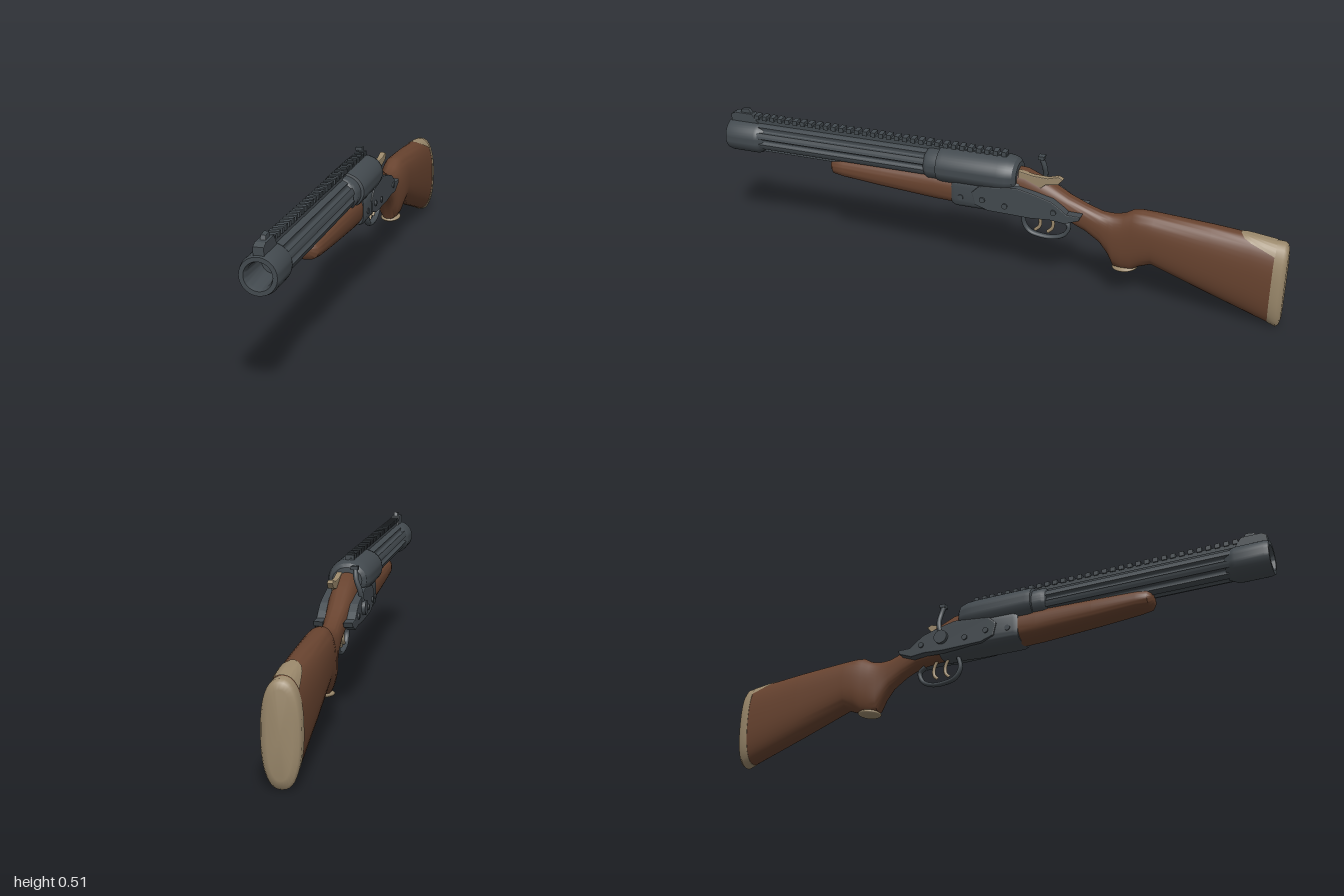
import * as THREE from 'three';
import { toCreasedNormals } from 'three/addons/utils/BufferGeometryUtils.js';

const V = (x, y, z) => new THREE.Vector3(x, y, z);

// Skin over rows [z, top, bottom, halfWidth, arc] running front to back;
// arc < PI leaves an open strip centred on the top.
function loft(rows, power = 2.4, closed = true) {
  const N = 40, pos = [], idx = [];
  const bend = (v) => Math.sign(v) * Math.abs(v) ** (2 / power);
  for (const [z, top, bot, hw, arc = Math.PI] of rows) {
    for (let j = 0; j <= N; j++) {
      const t = Math.PI / 2 - arc + (2 * arc * j) / N;
      pos.push(hw * bend(Math.cos(t)), (top + bot) / 2 + ((top - bot) / 2) * bend(Math.sin(t)), z);
    }
  }
  const W = N + 1, last = rows.length - 1;
  for (let i = 0; i < last; i++) {
    for (let j = 0; j < N; j++) {
      const a = i * W + j, c = a + W;
      idx.push(a, c, a + 1, a + 1, c, c + 1);
    }
  }
  if (closed) {
    for (const r of [0, last]) {
      const [z, top, bot] = rows[r], centre = pos.length / 3;
      pos.push(0, (top + bot) / 2, z);
      for (let j = 0; j < N; j++) {
        const a = r * W + j;
        if (r === 0) idx.push(centre, a, a + 1);
        else idx.push(centre, a + 1, a);
      }
    }
  }
  const g = new THREE.BufferGeometry();
  g.setAttribute('position', new THREE.Float32BufferAttribute(pos, 3));
  g.setIndex(idx);
  return toCreasedNormals(g, 0.75);
}

// Side outline in (z, y), given thickness across x
function sidePlate(points, width, bevel = 0) {
  const shape = new THREE.Shape(points.map(([z, y]) => new THREE.Vector2(z, y)));
  const g = new THREE.ExtrudeGeometry(shape, {
    depth: width - 2 * bevel, bevelEnabled: bevel > 0, bevelSize: bevel, bevelThickness: bevel, bevelSegments: 2,
  });
  return g.translate(0, 0, bevel - width / 2).rotateY(-Math.PI / 2);
}

// Turned part along z from (radius, z) pairs, back to front
function turned(points, y, squash = 1) {
  const g = new THREE.LatheGeometry(points.map(([r, z]) => new THREE.Vector2(r, z)), 40);
  return toCreasedNormals(g.rotateX(Math.PI / 2).scale(1, squash, 1), 0.5).translate(0, y, 0);
}

const tube = (pts, r) => new THREE.TubeGeometry(new THREE.CatmullRomCurve3(pts), 32, r, 10);

export function createModel() {
  const model = new THREE.Group();
  const mat = (name, color) => {
    const m = new THREE.MeshStandardMaterial({ color });
    m.name = name;
    return m;
  };
  const wood = mat('walnut wood', 0x68432f);
  const metal = mat('gunmetal', 0x434a4f);
  const pale = mat('pale worn tan', 0x9a886b);
  const add = (name, geo, material, x = 0, y = 0, z = 0) => {
    const m = new THREE.Mesh(geo, material);
    m.name = name;
    m.position.set(x, y, z);
    model.add(m);
    return m;
  };

  // Stock, wrist and pistol grip in one skin
  add('stock', loft([
    [-0.06, 0.44, 0.285, 0.045], [-0.12, 0.435, 0.28, 0.045], [-0.2, 0.4, 0.275, 0.042],
    [-0.27, 0.36, 0.268, 0.036], [-0.33, 0.335, 0.24, 0.033], [-0.38, 0.318, 0.205, 0.034],
    [-0.41, 0.316, 0.165, 0.036], [-0.43, 0.317, 0.125, 0.04], [-0.46, 0.325, 0.117, 0.043],
    [-0.49, 0.343, 0.12, 0.047], [-0.52, 0.346, 0.14, 0.05], [-0.56, 0.344, 0.156, 0.052],
    [-0.75, 0.333, 0.086, 0.056], [-0.88, 0.322, 0.04, 0.057], [-0.958, 0.312, 0.012, 0.057],
  ]), wood);
  add('buttPlate', loft([
    [-0.958, 0.313, 0.011, 0.058], [-0.985, 0.312, 0.0, 0.058],
    [-0.995, 0.304, 0.008, 0.052], [-1.0, 0.285, 0.03, 0.036],
  ]), pale);
  add('wornHeel', loft([
    [-0.843, 0.328, 0.05, 0.06, 0.08], [-0.858, 0.327, 0.045, 0.06, 0.4],
    [-0.88, 0.325, 0.038, 0.06, 0.55], [-0.92, 0.32, 0.024, 0.06, 0.68],
    [-0.96, 0.315, 0.01, 0.06, 0.8],
  ], 2.4, false), pale);
  const cap = add('gripCap', new THREE.SphereGeometry(1, 28, 16), pale, 0, 0.125, -0.468);
  cap.scale.set(0.037, 0.012, 0.044);
  cap.rotation.x = 0.12;

  // Forend
  add('forend', loft([
    [0.602, 0.36, 0.325, 0.026], [0.59, 0.37, 0.311, 0.04], [0.55, 0.375, 0.305, 0.045],
    [0.4, 0.38, 0.292, 0.049], [0.2, 0.385, 0.278, 0.053], [0.12, 0.385, 0.276, 0.054],
  ]), wood);

  // Fluted barrel
  const ring = [];
  for (let i = 0; i < 128; i++) {
    const t = (i / 128) * Math.PI * 2;
    const r = 0.054 - 0.011 * Math.sqrt(Math.max(0, Math.cos(8 * t)));
    ring.push(new THREE.Vector2(r * Math.cos(t), r * Math.sin(t)));
  }
  const barrel = new THREE.ExtrudeGeometry(new THREE.Shape(ring), { depth: 0.68, bevelEnabled: false });
  add('barrel', toCreasedNormals(barrel, 0.5), metal, 0, 0.407, 0.2);
  add('muzzle', turned([
    [0.045, 0.855], [0.057, 0.88], [0.059, 0.89], [0.059, 0.985], [0.055, 1],
    [0.042, 1], [0.037, 0.985], [0.033, 0.88], [0, 0.88],
  ], 0.403), metal);
  add('breechCollar', turned([[0.062, 0.17], [0.062, 0.225], [0.057, 0.235], [0.05, 0.24]], 0.408, 0.92), metal);
  add('breechDrum', turned([
    [0, -0.095], [0.05, -0.093], [0.064, -0.082], [0.071, -0.06], [0.074, -0.03],
    [0.074, 0.17], [0.071, 0.188], [0.055, 0.192], [0, 0.192],
  ], 0.411, 0.86), metal);

  // Sighting rail and front sight
  add('railBase', new THREE.BoxGeometry(0.022, 0.03, 0.95), metal, 0, 0.463, 0.425);
  for (let i = 0; i < 32; i++) {
    add('railTooth', new THREE.BoxGeometry(0.031, 0.016, 0.017), metal, 0, 0.481, -0.04 + i * 0.03);
  }
  add('sightRamp', sidePlate([[0.99, 0.45], [0.99, 0.482], [0.975, 0.49], [0.91, 0.49], [0.88, 0.45]], 0.032, 0.002), metal);
  add('sightBlade', sidePlate([[0.96, 0.48], [0.95, 0.502], [0.925, 0.505], [0.91, 0.48]], 0.016, 0.002), metal);

  // Receiver
  add('receiver', loft([
    [0.135, 0.385, 0.278, 0.055], [0.12, 0.39, 0.274, 0.061], [-0.04, 0.4, 0.274, 0.061],
    [-0.1, 0.4, 0.276, 0.056], [-0.17, 0.34, 0.272, 0.042],
  ], 4), metal);
  for (const s of [-1, 1]) {
    add('sidePlate', sidePlate([
      [0.055, 0.345], [0.045, 0.305], [0.0, 0.29], [-0.15, 0.287], [-0.22, 0.292], [-0.27, 0.287],
      [-0.315, 0.305], [-0.32, 0.315], [-0.275, 0.315], [-0.25, 0.335], [-0.22, 0.355],
      [-0.16, 0.372], [-0.1, 0.385], [0.03, 0.37],
    ], 0.032, 0.004), metal, s * 0.049);
    for (const [z, y] of [[0.02, 0.325], [-0.06, 0.315], [-0.23, 0.32], [0.1, 0.32]]) {
      add('screw', new THREE.CylinderGeometry(0.01, 0.01, 0.008, 16).rotateZ(Math.PI / 2), metal, s * (z > 0.05 ? 0.06 : 0.066), y, z);
    }
  }

  // Hammers and the hammer pivot
  add('hammerPivot', new THREE.CylinderGeometry(0.025, 0.025, 0.024, 24).rotateZ(Math.PI / 2), metal, -0.065, 0.333, -0.15);
  add('leftHammer', tube([V(-0.064, 0.335, -0.15), V(-0.058, 0.39, -0.165), V(-0.045, 0.43, -0.165), V(-0.04, 0.468, -0.153)], 0.009), metal);
  add('leftHammerSpur', new THREE.BoxGeometry(0.024, 0.012, 0.022), metal, -0.039, 0.466, -0.157);
  add('rightHammer', sidePlate([
    [-0.1, 0.4], [-0.1, 0.435], [-0.15, 0.425], [-0.2, 0.424], [-0.235, 0.434],
    [-0.248, 0.428], [-0.235, 0.412], [-0.19, 0.403], [-0.17, 0.385],
  ], 0.02, 0.003), pale, 0.025);

  // Trigger guard and triggers
  const guard = tube([
    V(0, 0.275, -0.115), V(0, 0.235, -0.108), V(0, 0.202, -0.128), V(0, 0.19, -0.17),
    V(0, 0.192, -0.22), V(0, 0.21, -0.255), V(0, 0.245, -0.268), V(0, 0.265, -0.245),
  ], 0.0075);
  add('triggerGuard', guard.scale(1.5, 1, 1), metal);
  for (const z of [-0.155, -0.2]) {
    add('trigger', tube([V(0, 0.28, z), V(0, 0.25, z - 0.012), V(0, 0.225, z - 0.01), V(0, 0.208, z + 0.006)], 0.006), pale);
  }

  return model;
}
